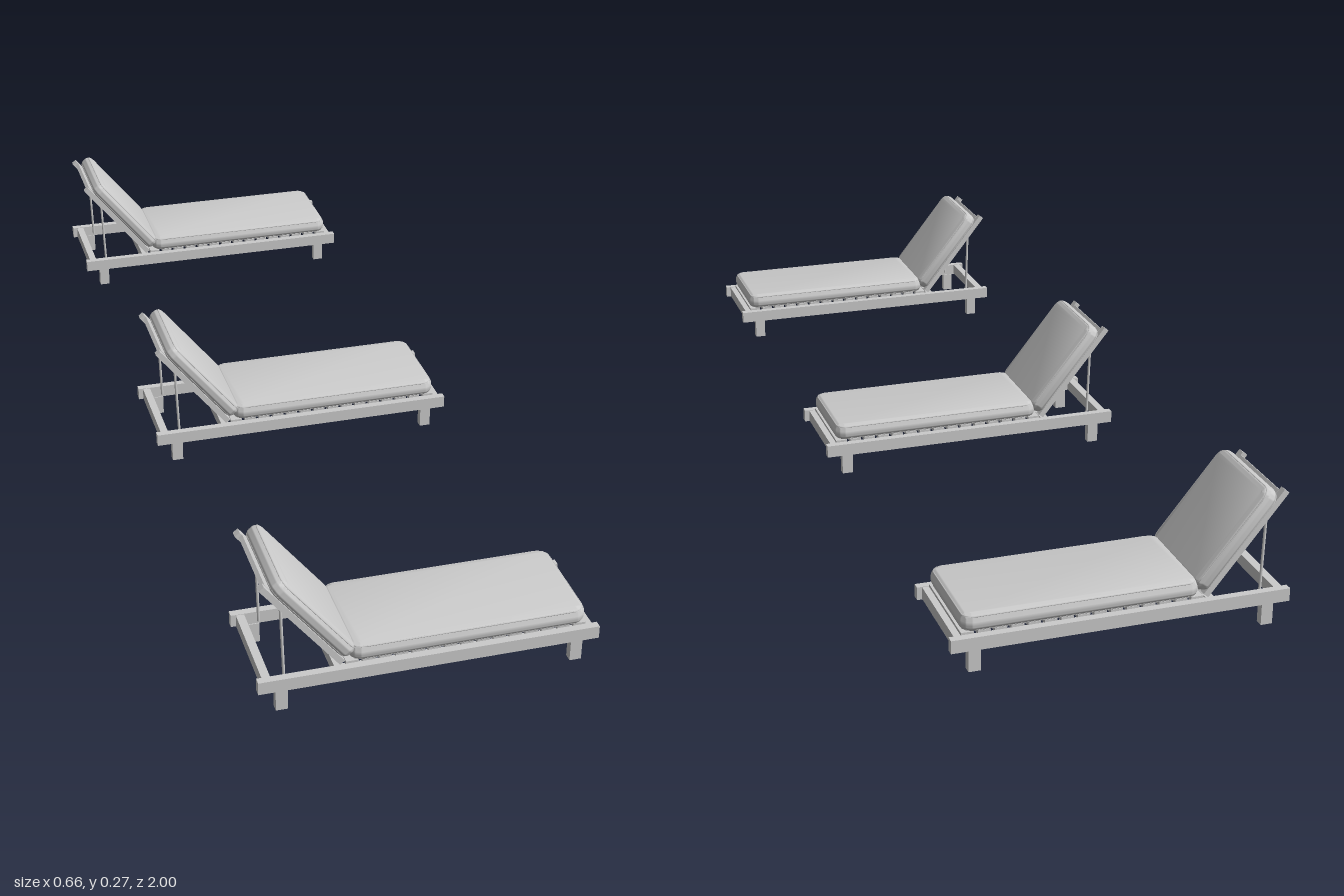
import * as THREE from 'three';
import { toCreasedNormals } from 'three/addons/utils/BufferGeometryUtils.js';

const material = new THREE.MeshStandardMaterial({ color: 0xcccccc });
const HALF = 0.1125; // half width of one lounger

function add(parent, name, geometry) {
  const mesh = new THREE.Mesh(geometry, material);
  mesh.name = name;
  parent.add(mesh);
  return mesh;
}

// Box given by its limits on each axis
function box(parent, name, x0, x1, y0, y1, z0, z1) {
  const mesh = add(parent, name, new THREE.BoxGeometry(x1 - x0, y1 - y0, z1 - z0));
  mesh.position.set((x0 + x1) / 2, (y0 + y1) / 2, (z0 + z1) / 2);
  return mesh;
}

function roundedRect(w, d, r) {
  const s = new THREE.Shape();
  const x = w / 2, y = d / 2;
  s.absarc(x - r, y - r, r, 0, Math.PI / 2);
  s.absarc(-x + r, y - r, r, Math.PI / 2, Math.PI);
  s.absarc(-x + r, -y + r, r, Math.PI, Math.PI * 1.5);
  s.absarc(x - r, -y + r, r, Math.PI * 1.5, Math.PI * 2);
  s.closePath();
  return s;
}

// Soft padded cushion with piping round both faces; lies flat with its base at y = 0
function cushion(parent, name, length, width, height) {
  const group = new THREE.Group();
  group.name = name;
  const bevel = 0.014;
  const pad = new THREE.ExtrudeGeometry(roundedRect(length - 2 * bevel, width - 2 * bevel, 0.01), {
    depth: height - 2 * bevel, bevelThickness: bevel, bevelSize: bevel, bevelSegments: 7, curveSegments: 6,
  });
  pad.rotateX(-Math.PI / 2).translate(0, bevel, 0);
  add(group, 'pad', toCreasedNormals(pad, 0.7));

  const inset = 0.0045;
  const outline = roundedRect(length - 2 * inset, width - 2 * inset, 0.0195).getSpacedPoints(90).slice(0, -1);
  for (const y of [inset, height - inset]) {
    const path = new THREE.CatmullRomCurve3(outline.map((p) => new THREE.Vector3(p.x, y, p.y)), true);
    add(group, 'piping', new THREE.TubeGeometry(path, 120, 0.0016, 6, true));
  }
  parent.add(group);
  return group;
}

function rod(parent, name, from, to, radius) {
  const mesh = add(parent, name, new THREE.CylinderGeometry(radius, radius, from.distanceTo(to), 10));
  mesh.position.copy(from).add(to).multiplyScalar(0.5);
  mesh.quaternion.setFromUnitVectors(new THREE.Vector3(0, 1, 0), to.clone().sub(from).normalize());
}

function createLounger() {
  const lounger = new THREE.Group();
  lounger.name = 'lounger';
  const inner = HALF - 0.015;

  // Side rails, ledgers and legs
  for (const s of [-1, 1]) {
    const side = (name, x0, x1, y0, y1, a, b) =>
      box(lounger, name, x0, x1, y0, y1, Math.min(s * a, s * b), Math.max(s * a, s * b));
    side('sideRail', -0.328, 0.328, 0.042, 0.068, inner, HALF);
    side('slatLedger', -0.17, 0.302, 0.052, 0.064, inner - 0.008, inner);
    for (const x of [-0.284, 0.284]) side('leg', x - 0.0115, x + 0.0115, 0, 0.042, inner - 0.002, HALF - 0.0005);
  }

  // End bars and the bar under the backrest hinge
  for (const x of [-0.31, 0.31]) box(lounger, 'endBar', x - 0.008, x + 0.008, 0.043, 0.067, -inner, inner);
  box(lounger, 'hingeBar', -0.182, -0.166, 0.044, 0.066, -inner, inner);

  // Seat slats
  const slats = 15;
  for (let i = 0; i < slats; i++) {
    const x = -0.148 + i * 0.0315;
    box(lounger, 'seatSlat', x - 0.012, x + 0.012, 0.064, 0.0725, -inner, inner);
  }
  cushion(lounger, 'seatCushion', 0.458, 0.212, 0.035).position.set(0.076, 0.0725, 0);

  // Reclined backrest: local -x runs up the slope, +y faces the sitter
  const back = new THREE.Group();
  back.name = 'backrest';
  back.position.set(-0.172, 0.068, 0);
  back.rotation.z = -0.898;
  lounger.add(back);
  for (const s of [-1, 1]) {
    const z = s * 0.0885;
    box(back, 'backRail', -0.24, 0.002, 0, 0.012, z - 0.0075, z + 0.0075);
  }
  for (let i = 0; i < 8; i++) {
    const x = -0.222 + i * 0.0295;
    box(back, 'backSlat', x - 0.011, x + 0.011, 0.004, 0.0125, -0.082, 0.082);
  }
  cushion(back, 'backCushion', 0.23, 0.212, 0.033).position.set(-0.113, 0.0125, 0);

  // Props holding the backrest up
  for (const s of [-1, 1]) {
    rod(lounger, 'backProp', new THREE.Vector3(-0.275, 0.05, s * 0.093),
      new THREE.Vector3(-0.281, 0.21, s * 0.09), 0.0028);
  }
  return lounger;
}

export function createModel() {
  const model = new THREE.Group();
  model.name = 'loungers';
  // Three identical loungers in a row
  for (const z of [-1 + HALF, 0, 1 - HALF]) {
    const lounger = createLounger();
    lounger.position.z = z;
    model.add(lounger);
  }
  return model;
}
